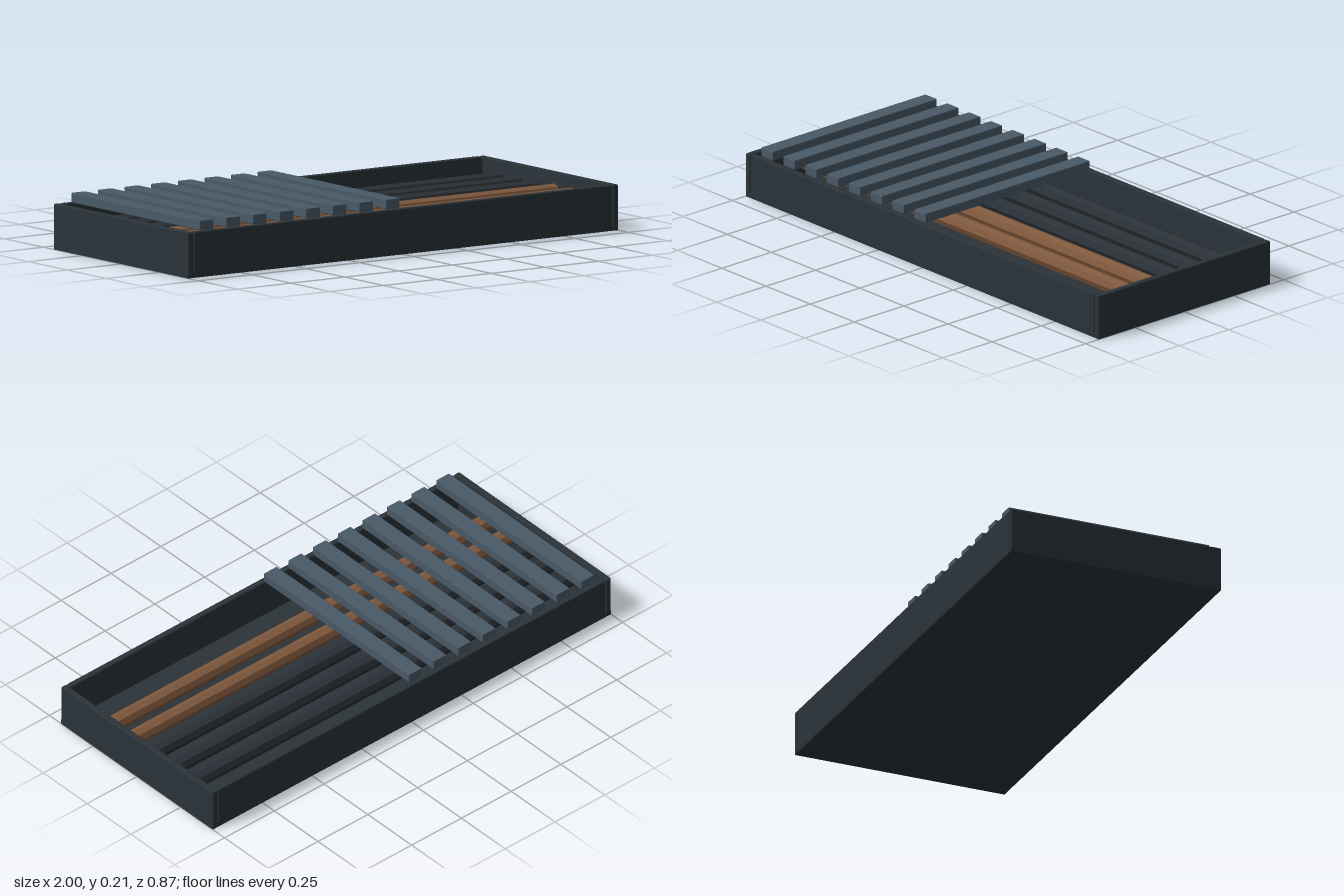
import * as THREE from 'three';
import { RoundedBoxGeometry } from 'three/addons/geometries/RoundedBoxGeometry.js';

export function createModel() {
  const model = new THREE.Group();
  model.name = 'trenchConvector';

  const material = (name, color, flatShading = false) => {
    const m = new THREE.MeshStandardMaterial({ color, flatShading });
    m.name = name;
    return m;
  };
  const shell = material('darkSteel', 0x2b343a);
  const slatPaint = material('slateBlue', 0x4a5a68);
  const copper = material('copper', 0x80593d, true);
  const darkPipe = material('darkPipe', 0x2a3137, true);

  const add = (name, geometry, mat, x, y, z) => {
    const mesh = new THREE.Mesh(geometry, mat);
    mesh.name = name;
    mesh.position.set(x, y, z);
    model.add(mesh);
    return mesh;
  };
  const bevelBox = (w, h, d, r = 0.005) => new RoundedBoxGeometry(w, h, d, 1, r);

  // Tray: floor and four walls
  add('floor', new THREE.BoxGeometry(2, 0.02, 0.866), shell, 0, 0.01, 0);
  for (const s of [-1, 1]) {
    add(s > 0 ? 'frontWall' : 'backWall', bevelBox(1.945, 0.17, 0.025), shell, 0, 0.09, s * 0.4215);
    add(s > 0 ? 'leftWall' : 'rightWall', bevelBox(0.025, 0.17, 0.868), shell, s * 0.9875, 0.09, 0);
  }

  // Corner strips set slightly back behind the wall joints
  for (const x of [-0.973, 0.973]) {
    for (const z of [-0.419, 0.419]) {
      add('cornerStrip', new THREE.BoxGeometry(0.02, 0.145, 0.02), shell, x, 0.0925, z);
    }
  }

  // Five long pipes, the front two in copper
  const pipe = new THREE.CylinderGeometry(0.0325, 0.0325, 1.91, 8).rotateZ(Math.PI / 2);
  for (let i = 0; i < 5; i++) {
    const isCopper = i > 2;
    add(isCopper ? 'copperPipe' : 'darkPipe', pipe, isCopper ? copper : darkPipe, 0, 0.105, -0.265 + i * 0.1163);
  }

  // Grille slats over the right half
  const slat = bevelBox(0.065, 0.038, 0.83, 0.003);
  for (let i = 0; i < 8; i++) {
    add('slat', slat, slatPaint, -0.9 + i * 0.1237, 0.194, 0);
  }

  return model;
}
